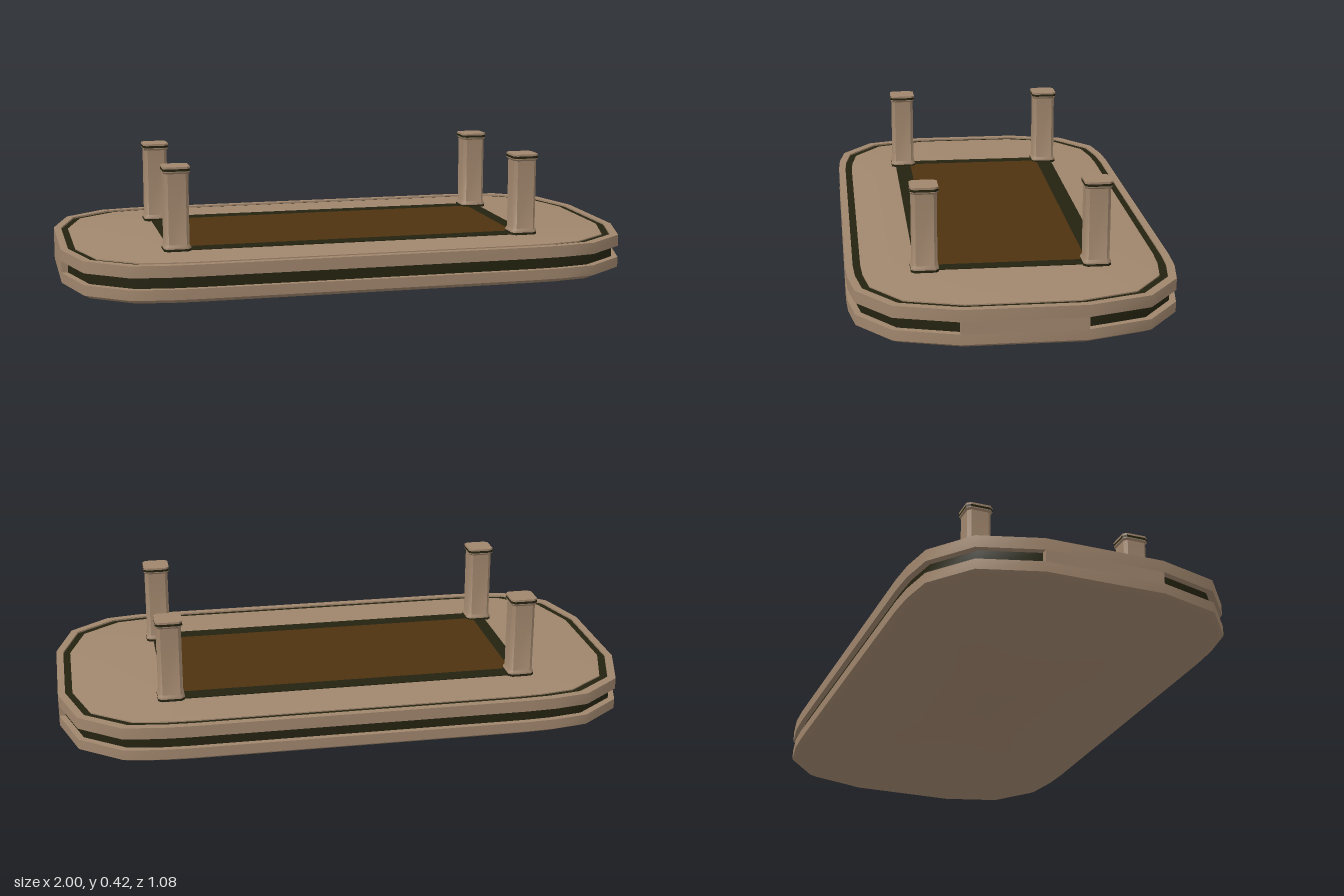
import * as THREE from 'three';
import { toCreasedNormals } from 'three/addons/utils/BufferGeometryUtils.js';

const mat = (name, color) => new THREE.MeshStandardMaterial({ name, color });

// Mirror one quadrant of an outline (listed from the +x side to the +z side) to all four.
function mirrorOutline(q) {
  const r = [...q].reverse();
  return [
    ...q,
    ...r.map(([x, z]) => [-x, z]),
    ...q.map(([x, z]) => [-x, -z]),
    ...r.map(([x, z]) => [x, -z]),
  ];
}

const DECK = { hx: 1, hz: 0.54, pts: mirrorOutline([[1, 0.2], [0.94, 0.405], [0.8, 0.515], [0.68, 0.535], [0.58, 0.54]]) };
const POST = { hx: 0.046, hz: 0.046, pts: mirrorOutline([[0.046, 0.034], [0.034, 0.046]]) };

// Skin a stack of [inset, y] rings of one outline; inset null collapses to the centre.
function loft({ hx, hz, pts }, rings) {
  const at = ([inset, y], j) => {
    if (inset === null) return [0, y, 0];
    const [x, z] = pts[j % pts.length];
    return [x * (1 - inset / hx), y, z * (1 - inset / hz)];
  };
  const pos = [];
  for (let i = 0; i < rings.length - 1; i++) {
    const lo = rings[i], hi = rings[i + 1];
    for (let j = 0; j < pts.length; j++) {
      const a = at(lo, j), b = at(lo, j + 1), c = at(hi, j + 1), d = at(hi, j);
      if (lo[0] !== null) pos.push(...a, ...d, ...b);
      if (hi[0] !== null) pos.push(...b, ...d, ...c);
    }
  }
  const g = new THREE.BufferGeometry();
  g.setAttribute('position', new THREE.Float32BufferAttribute(pos, 3));
  return toCreasedNormals(g, 0.68);
}

export function createModel() {
  const wood = mat('tan wood', 0xa0866d);
  const trim = mat('dark trim', 0x242310);
  const panelBrown = mat('brown panel', 0x4f330f);
  const model = new THREE.Group();
  model.name = 'platform';

  const add = (parent, name, geometry, material, x = 0, y = 0, z = 0) => {
    const m = new THREE.Mesh(geometry, material);
    m.name = name;
    m.position.set(x, y, z);
    parent.add(m);
  };

  // Base slab, recessed side band and upper slab
  add(model, 'lowerSlab', loft(DECK, [[null, 0], [0.025, 0], [0, 0.015], [0, 0.05], [0.02, 0.05]]), wood);
  add(model, 'sideGroove', loft(DECK, [[0.02, 0.05], [0.02, 0.09]]), trim);
  add(model, 'upperSlab', loft(DECK, [[0.02, 0.09], [0, 0.09], [0, 0.13], [0.025, 0.13], [0.025, 0.124]]), wood);

  // Solid blocks interrupting the groove at both ends
  for (const s of [-1, 1]) {
    add(model, 'endBlock', new THREE.BoxGeometry(0.04, 0.04, 0.4), wood, s * 0.98, 0.07, 0);
  }

  // Inlaid rim line and deck surface
  add(model, 'rimInlay', loft(DECK, [[0.025, 0.124], [0.05, 0.124]]), trim);
  add(model, 'deckTop', loft(DECK, [[0.05, 0.124], [0.05, 0.128], [0.065, 0.13], [null, 0.13]]), wood);

  // Central panel with dark frame strips
  add(model, 'centrePanel', new THREE.BoxGeometry(1.19, 0.004, 0.51), panelBrown, 0, 0.131, 0);
  for (const s of [-1, 1]) {
    add(model, 'longFrameStrip', new THREE.BoxGeometry(1.28, 0.004, 0.058), trim, 0, 0.131, s * 0.284);
    add(model, 'shortFrameStrip', new THREE.BoxGeometry(0.045, 0.004, 0.51), trim, s * 0.6175, 0.131, 0);
  }

  // Four corner posts with flared foot and banded cap
  const footBand = loft(POST, [[0, 0.13], [0, 0.138]]);
  const shaft = loft(POST, [[0, 0.138], [0, 0.143], [0.005, 0.152], [0.005, 0.394], [0, 0.4], [0, 0.403]]);
  const capBand = loft(POST, [[0, 0.403], [0, 0.411]]);
  const capTop = loft(POST, [[0, 0.411], [0, 0.418], [null, 0.418]]);
  for (const sx of [-1, 1]) {
    for (const sz of [-1, 1]) {
      const post = new THREE.Group();
      post.name = 'cornerPost';
      post.position.set(sx * 0.618, 0, sz * 0.283);
      add(post, 'footBand', footBand, trim);
      add(post, 'shaft', shaft, wood);
      add(post, 'capBand', capBand, trim);
      add(post, 'capTop', capTop, wood);
      model.add(post);
    }
  }
  return model;
}
